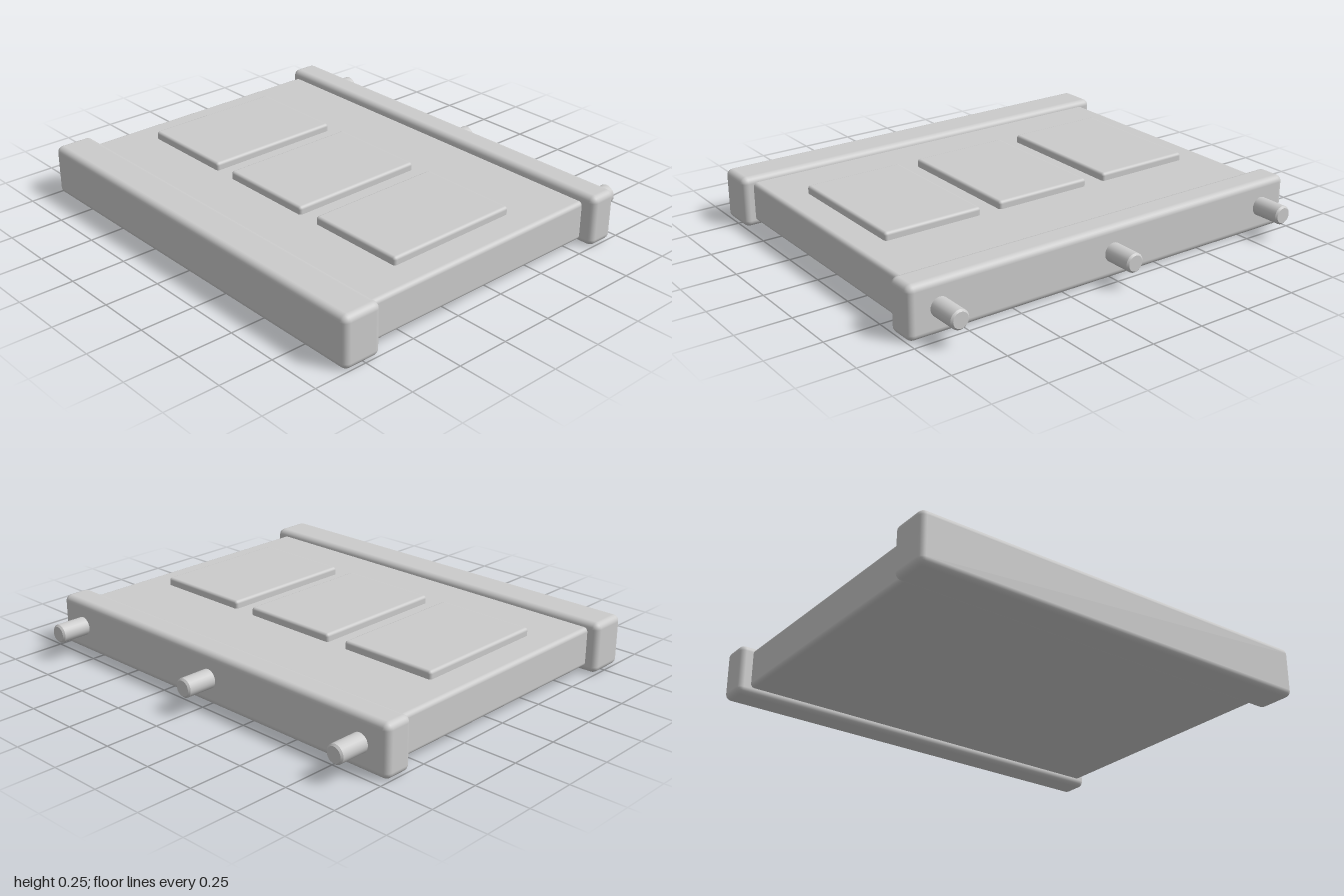
import * as THREE from 'three';
import { RoundedBoxGeometry } from 'three/addons/geometries/RoundedBoxGeometry.js';

const grey = new THREE.MeshStandardMaterial({ color: 0xcccccc });

// Rounded box given by its min and max along each axis
function slab(name, [x0, x1], [y0, y1], [z0, z1], radius) {
  const geometry = new RoundedBoxGeometry(x1 - x0, y1 - y0, z1 - z0, 3, radius);
  const mesh = new THREE.Mesh(geometry, grey);
  mesh.position.set((x0 + x1) / 2, (y0 + y1) / 2, (z0 + z1) / 2);
  mesh.name = name;
  return mesh;
}

// Round peg with a slightly bevelled tip, pointing to the back
function peg(x) {
  const r = 0.043, length = 0.17, bevel = 0.008;
  const profile = [[0, 0], [r, 0], [r, 0], [r, length - bevel], [r, length - bevel],
    [r - bevel, length], [r - bevel, length], [0, length]].map(([a, b]) => new THREE.Vector2(a, b));
  const mesh = new THREE.Mesh(new THREE.LatheGeometry(profile, 24), grey);
  mesh.rotation.x = -Math.PI / 2;
  mesh.position.set(x, 0.12, -0.685);
  mesh.name = 'peg';
  return mesh;
}

export function createModel() {
  const model = new THREE.Group();
  model.name = 'panelledSlab';

  // Main body between the two rails
  model.add(slab('body', [-0.948, 0.948], [0.025, 0.21], [-0.57, 0.69], 0.02));

  // Rails across the front and back
  model.add(slab('frontRail', [-1, 1], [0, 0.237], [0.67, 0.855], 0.03));
  model.add(slab('backRail', [-1, 1], [0, 0.237], [-0.713, -0.575], 0.03));

  // Three raised panels on top, three pegs at the back
  for (const i of [-1, 0, 1]) {
    const x = i * 0.572;
    model.add(slab('raisedPanel', [x - 0.237, x + 0.237], [0.19, 0.246], [-0.24, 0.422], 0.014));
    model.add(peg(i * 0.858));
  }
  return model;
}
